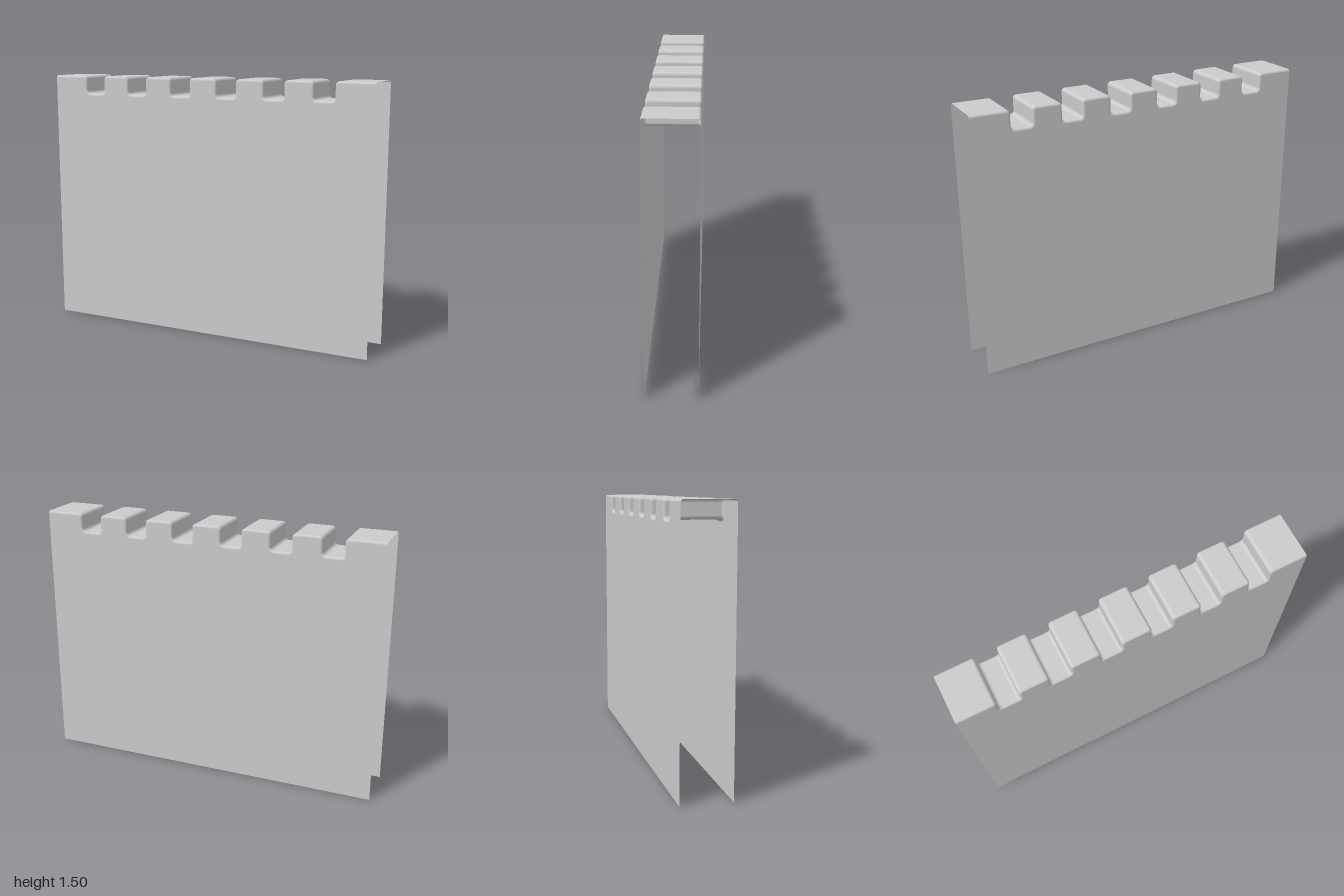
import * as THREE from 'three';

const TOP = 1.495, FLOOR = 1.39, HALF_DEPTH = 0.14;
const CORNER = 0.02, BEVEL = 0.014, STEPS = 5;
const NOTCHES = [[-0.78, -0.66], [-0.492, -0.372], [-0.205, -0.085],
  [0.085, 0.205], [0.372, 0.492], [0.66, 0.78]];

// Battlement outline from left to right, each corner rounded, with its normals
function battlementPath() {
  const corners = [[-1, TOP]];
  for (const [a, b] of NOTCHES) corners.push([a, TOP], [a, FLOOR], [b, FLOOR], [b, TOP]);
  corners.push([1, TOP]);
  const pts = corners.map(([x, y]) => new THREE.Vector2(x, y));
  const up = new THREE.Vector2(0, 1);
  const path = [{ p: pts[0], n: up }];
  for (let i = 1; i < pts.length - 1; i++) {
    const d0 = pts[i].clone().sub(pts[i - 1]).normalize();
    const d1 = pts[i + 1].clone().sub(pts[i]).normalize();
    const turn = Math.sign(d0.cross(d1)); // -1 outer corner, +1 inner corner
    const n0 = new THREE.Vector2(-d0.y, d0.x);
    const centre = pts[i].clone().addScaledVector(d0, -CORNER).addScaledVector(n0, turn * CORNER);
    for (let k = 0; k <= STEPS; k++) {
      const n = n0.clone().rotateAround(new THREE.Vector2(), turn * k / STEPS * Math.PI / 2);
      path.push({ p: centre.clone().addScaledVector(n, -turn * CORNER), n });
    }
  }
  path.push({ p: pts[pts.length - 1], n: up });
  return path;
}

// Top strip: the outline swept through the depth with rounded front and back edges
function topGeometry(path) {
  const section = [];
  for (const side of [1, -1]) {
    for (let k = 0; k <= STEPS; k++) {
      const a = (side > 0 ? 1 - k / STEPS : -k / STEPS) * Math.PI / 2;
      section.push({
        inset: BEVEL * (1 - Math.cos(a)),
        z: side * (HALF_DEPTH - BEVEL) + BEVEL * Math.sin(a),
        c: Math.cos(a), s: Math.sin(a),
      });
    }
  }
  const pos = [], nor = [], idx = [], m = section.length;
  path.forEach(({ p, n }, i) => {
    section.forEach((q, j) => {
      pos.push(p.x - n.x * q.inset, p.y - n.y * q.inset, q.z);
      nor.push(n.x * q.c, n.y * q.c, q.s);
      if (i < path.length - 1 && j < m - 1) {
        const a = i * m + j, b = a + m;
        idx.push(a, b, a + 1, b, b + 1, a + 1);
      }
    });
  });
  const g = new THREE.BufferGeometry();
  g.setAttribute('position', new THREE.Float32BufferAttribute(pos, 3));
  g.setAttribute('normal', new THREE.Float32BufferAttribute(nor, 3));
  g.setIndex(idx);
  return g;
}

export function createModel() {
  const group = new THREE.Group();
  group.name = 'battlementWall';
  const material = new THREE.MeshStandardMaterial({ color: 0xcccccc, side: THREE.DoubleSide });
  const add = (name, geometry) => {
    const mesh = new THREE.Mesh(geometry, material);
    mesh.name = name;
    group.add(mesh);
  };
  const path = battlementPath();
  add('crenellatedTop', topGeometry(path));

  // Flat wall faces, open at the ends and the bottom
  const outline = path.map(({ p, n }) => p.clone().addScaledVector(n, -BEVEL));
  outline.push(new THREE.Vector2(1, 0), new THREE.Vector2(-1, 0));
  const face = new THREE.ShapeGeometry(new THREE.Shape(outline)).translate(0, 0, HALF_DEPTH);
  add('frontWall', face);
  add('backWall', face.clone().rotateY(Math.PI));
  return group;
}
